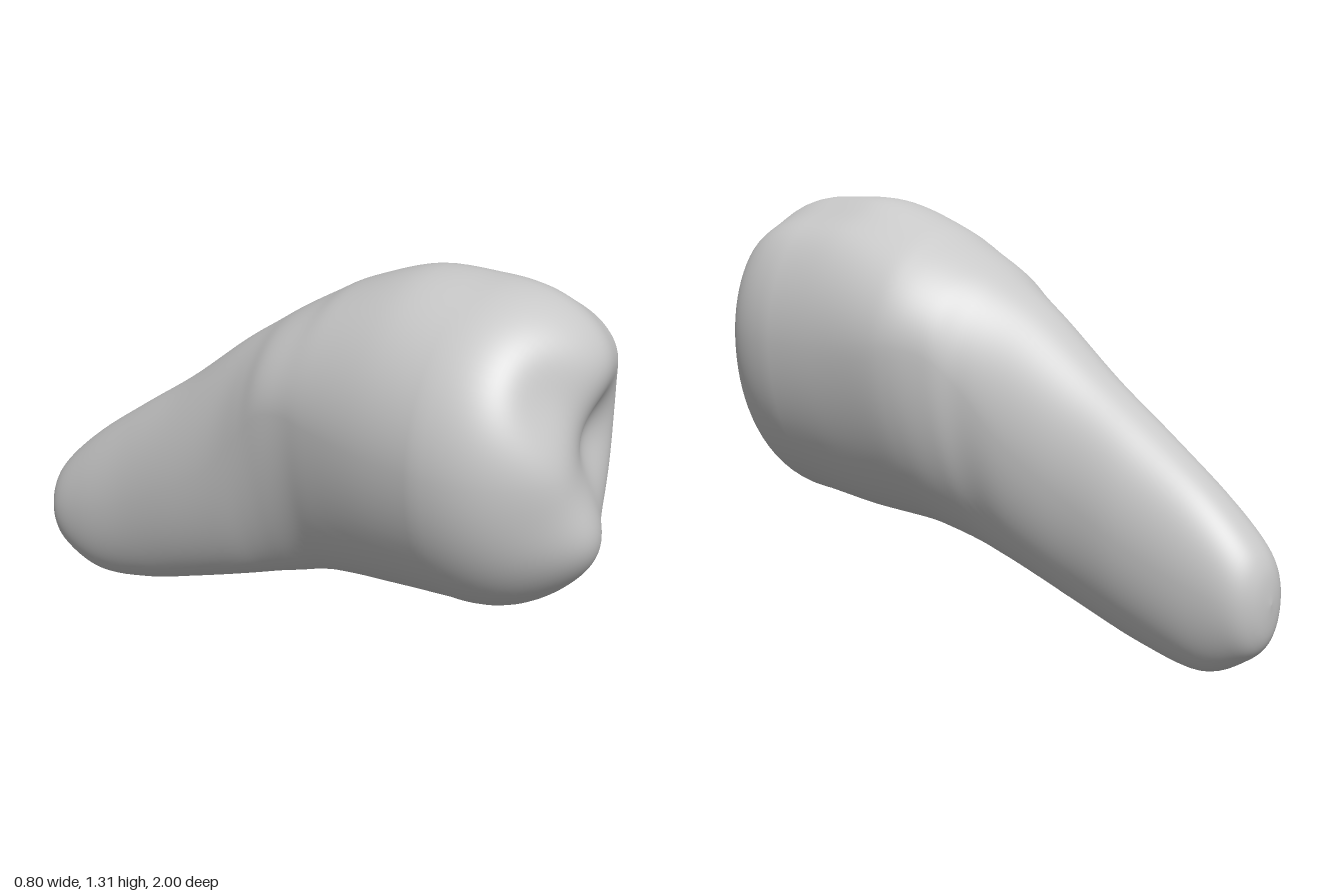
import * as THREE from 'three';

const SEGMENTS = 80;

// Cross-sections from root tip to crown:
// z, top, bottom, min x, max x, ridge x, height of widest point, squareness of the lower left quarter
const SECTIONS = [
  [-1.0, 0.23, 0.23, -0.10, -0.10, -0.10, 0.23, 2],
  [-0.985, 0.33, 0.12, -0.165, -0.035, -0.10, 0.23, 2],
  [-0.93, 0.415, 0.055, -0.22, 0.02, -0.09, 0.24, 2],
  [-0.8, 0.535, 0.0, -0.245, 0.06, -0.08, 0.28, 2.1],
  [-0.6, 0.68, 0.035, -0.255, 0.095, -0.08, 0.37, 2.1],
  [-0.4, 0.82, 0.10, -0.27, 0.12, -0.07, 0.48, 2.1],
  [-0.2, 0.98, 0.17, -0.28, 0.165, -0.06, 0.62, 2.05],
  [-0.08, 1.065, 0.21, -0.29, 0.205, -0.04, 0.76, 1.9],
  [0.0, 1.12, 0.235, -0.30, 0.265, -0.03, 0.85, 1.75],
  [0.1, 1.18, 0.265, -0.31, 0.325, -0.01, 0.88, 1.7],
  [0.2, 1.235, 0.285, -0.33, 0.355, 0.0, 0.87, 1.75],
  [0.4, 1.305, 0.305, -0.37, 0.38, 0.03, 0.86, 1.9],
  [0.6, 1.31, 0.33, -0.40, 0.40, 0.04, 0.86, 2],
];

// Bumps and hollows of the biting surface: x, y, height, radius
const CUSPS = [
  [0.05, 1.10, 0.06, 0.14],
  [-0.10, 0.65, 0.105, 0.13],
  [0.02, 0.50, 0.03, 0.12],
  [-0.22, 0.88, 0.04, 0.10],
  [0.12, 0.88, -0.065, 0.11],
  [-0.18, 1.10, -0.035, 0.09],
];

// Smooth blend of the section table
function sectionAt(t) {
  const last = SECTIONS.length - 1;
  const i = Math.min(Math.floor(t), last - 1);
  const f = t - i;
  const row = (k) => SECTIONS[Math.max(0, Math.min(last, k))];
  return row(i).map((p1, c) => {
    const p0 = row(i - 1)[c], p2 = row(i + 1)[c], p3 = row(i + 2)[c];
    return p1 + 0.5 * f * (p2 - p0 + f * (2 * p0 - 5 * p1 + 4 * p2 - p3 + f * (3 * (p1 - p2) + p3 - p0)));
  });
}

// Point on an oval with a different radius in each quadrant
function ringPoint([z, top, bottom, minX, maxX, cx, cy, square], angle, scale = 1) {
  const cos = Math.cos(angle), sin = Math.sin(angle);
  const power = cos > 0 && sin < 0 ? 2 / square : 1;
  const c = Math.sign(cos) * Math.abs(cos) ** power;
  const s = Math.sign(sin) * Math.abs(sin) ** power;
  // Flattened facet on the upper left shoulder of the crown
  const facet = 0.045 * THREE.MathUtils.smoothstep(z, 0.05, 0.5) * Math.exp(-(((angle - 1.15) / 0.25) ** 2));
  const k = scale * (1 - facet);
  const x = cx + k * c * (c > 0 ? maxX - cx : cx - minX);
  const y = cy + k * s * (s > 0 ? top - cy : cy - bottom);
  return [x, y, z];
}

function toothGeometry() {
  const positions = [], indices = [];
  let rings = 0;
  const addRing = (pointAt) => {
    for (let j = 0; j < SEGMENTS; j++) positions.push(...pointAt((j / SEGMENTS) * Math.PI * 2));
    rings++;
  };

  // Root and crown sides
  const steps = (SECTIONS.length - 1) * 6;
  for (let i = 0; i <= steps; i++) {
    const section = sectionAt((i / steps) * (SECTIONS.length - 1));
    addRing((a) => ringPoint(section, a));
  }

  // Domed biting surface with cusps
  const rim = SECTIONS[SECTIONS.length - 1];
  const capRings = 36;
  for (let i = 1; i <= capRings; i++) {
    const r = Math.cos((i / capRings) * Math.PI / 2);
    const dome = 0.295 * Math.pow(1 - Math.pow(r, 4.6), 0.42);
    addRing((a) => {
      const [x, y, z] = ringPoint(rim, a, r);
      let h = dome;
      for (const [bx, by, height, radius] of CUSPS) {
        h += (1 - r ** 6) * height * Math.exp(-((x - bx) ** 2 + (y - by) ** 2) / (2 * radius * radius));
      }
      return [x, y, z + h];
    });
  }

  // Skin between rings, with single triangles at the two poles
  for (let i = 0; i < rings - 1; i++) {
    for (let j = 0; j < SEGMENTS; j++) {
      const a = i * SEGMENTS + j, b = i * SEGMENTS + (j + 1) % SEGMENTS;
      const c = a + SEGMENTS, d = b + SEGMENTS;
      if (i > 0) indices.push(a, b, d);
      if (i < rings - 2) indices.push(a, d, c);
      else indices.push(a, b, c);
    }
  }

  const geometry = new THREE.BufferGeometry();
  geometry.setAttribute('position', new THREE.Float32BufferAttribute(positions, 3));
  geometry.setIndex(indices);
  geometry.computeVertexNormals();
  return geometry;
}

export function createModel() {
  const group = new THREE.Group();
  group.name = 'toothModel';
  const enamel = new THREE.MeshStandardMaterial({ color: 0xc8c8c8 });
  enamel.name = 'light grey enamel';
  const tooth = new THREE.Mesh(toothGeometry(), enamel);
  tooth.name = 'tooth';
  group.add(tooth);
  return group;
}
